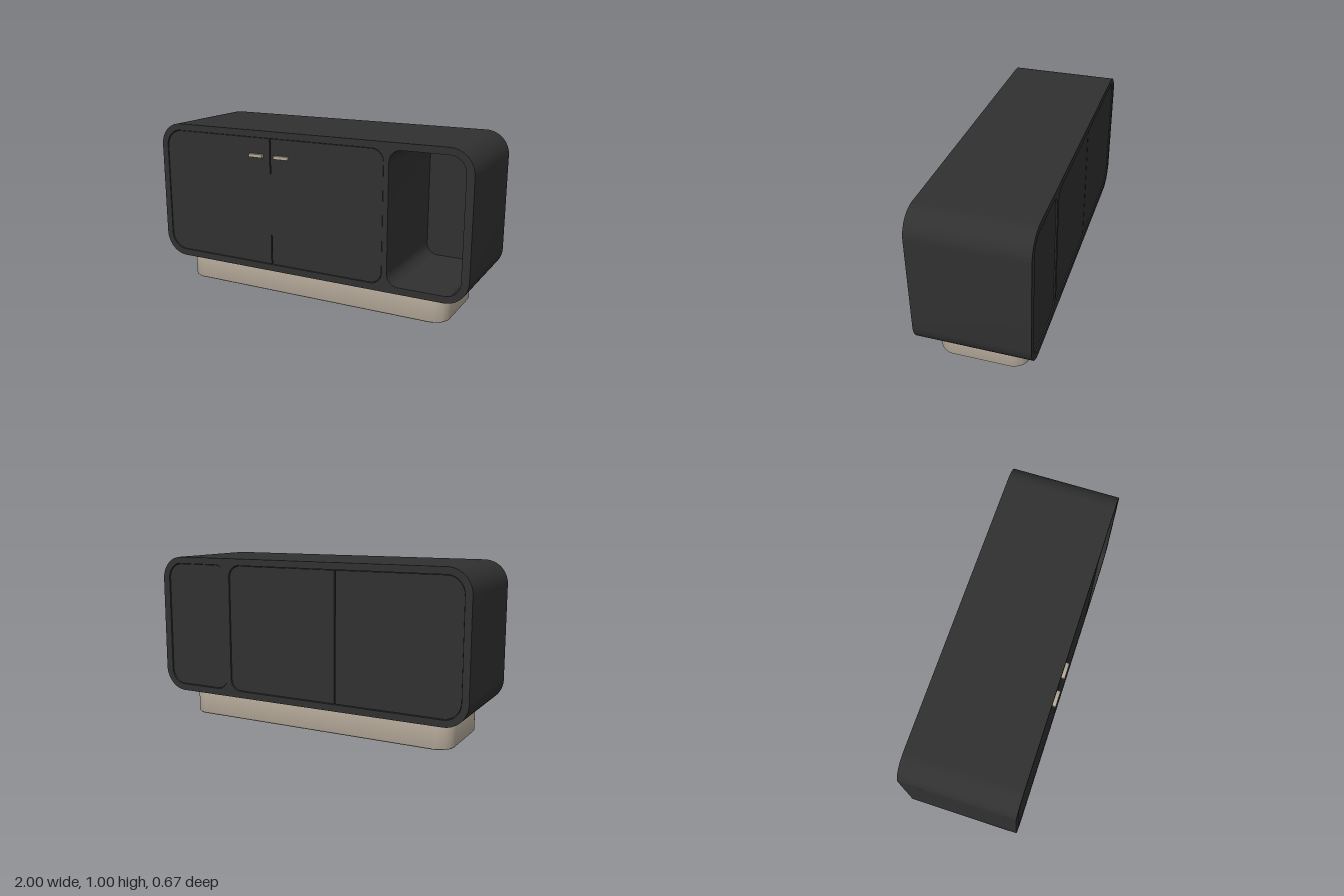
import * as THREE from 'three';
import { toCreasedNormals } from 'three/addons/utils/BufferGeometryUtils.js';

const BACK = -0.335, FRONT = 0.32;

// Rounded rectangle; radii in the order bottom-left, bottom-right, top-right, top-left
function outline(path, x0, y0, x1, y1, [bl, br, tr, tl]) {
  path.moveTo(x0 + bl, y0);
  path.lineTo(x1 - br, y0);
  if (br) path.absarc(x1 - br, y0 + br, br, -Math.PI / 2, 0);
  path.lineTo(x1, y1 - tr);
  if (tr) path.absarc(x1 - tr, y1 - tr, tr, 0, Math.PI / 2);
  path.lineTo(x0 + tl, y1);
  if (tl) path.absarc(x0 + tl, y1 - tl, tl, Math.PI / 2, Math.PI);
  path.lineTo(x0, y0 + bl);
  if (bl) path.absarc(x0 + bl, y0 + bl, bl, Math.PI, Math.PI * 1.5);
  return path;
}

function extrude(shape, depth, options = {}) {
  const g = new THREE.ExtrudeGeometry(shape, { depth, bevelEnabled: false, curveSegments: 12, ...options });
  return toCreasedNormals(g, 0.5);
}

export function createModel() {
  const root = new THREE.Group();
  root.name = 'sideboard';
  const dark = new THREE.MeshStandardMaterial({ color: 0x303030 });
  dark.name = 'charcoal';
  const beige = new THREE.MeshStandardMaterial({ color: 0xb4a999 });
  beige.name = 'warm beige';

  function add(name, geometry, material, z = 0) {
    const mesh = new THREE.Mesh(geometry, material);
    mesh.name = name;
    mesh.position.z = z;
    root.add(mesh);
    return mesh;
  }

  // Rounded carcass, with a wide cupboard opening and a narrow niche
  const body = outline(new THREE.Shape(), -1, 0.157, 1, 1, [0.14, 0.14, 0.14, 0.14]);
  body.holes.push(outline(new THREE.Path(), -0.96, 0.197, 0.5, 0.96, [0.1, 0.07, 0.07, 0.1]));
  body.holes.push(outline(new THREE.Path(), 0.53, 0.197, 0.955, 0.96, [0.07, 0.09, 0.09, 0.07]));
  add('carcass', extrude(body, FRONT - BACK), dark, BACK);

  // Doors on the front and matching panels on the back, parted by a thin seam
  const leafA = outline(new THREE.Shape(), -0.957, 0.2, -0.217, 0.957, [0.1, 0, 0, 0.1]);
  const leafB = outline(new THREE.Shape(), -0.21, 0.2, 0.497, 0.957, [0, 0.07, 0.07, 0]);
  const nicheShape = outline(new THREE.Shape(), 0.533, 0.2, 0.952, 0.957, [0.07, 0.09, 0.09, 0.07]);
  const thick = 0.02;
  add('rightDoor', extrude(leafA, thick), dark, FRONT - thick - 0.004);
  add('leftDoor', extrude(leafB, thick), dark, FRONT - thick - 0.004);
  add('rightBackPanel', extrude(leafA, thick), dark, BACK + 0.007);
  add('leftBackPanel', extrude(leafB, thick), dark, BACK + 0.007);
  add('nicheBackPanel', extrude(nicheShape, thick), dark, BACK + 0.007);

  // Strip closing the middle of the front seam
  const strip = add('seamStrip', new THREE.BoxGeometry(0.009, 0.37, thick), dark, FRONT - thick / 2 - 0.004);
  strip.position.set(-0.2135, 0.565, strip.position.z);

  // Small pull handles on both sides of the seam
  for (const [name, x] of [['rightHandle', -0.305], ['leftHandle', -0.135]]) {
    const bar = outline(new THREE.Shape(), -0.047, -0.01, 0.047, 0.01, [0.004, 0.004, 0.004, 0.004]);
    const handle = add(name, extrude(bar, 0.015, {
      bevelEnabled: true, bevelSize: 0.003, bevelThickness: 0.003, bevelOffset: -0.003, bevelSegments: 2,
    }), beige, FRONT - 0.002);
    handle.position.set(x, 0.853, FRONT - 0.002);
  }

  // Plinth with rounded corners and softened bottom edge
  const foot = outline(new THREE.Shape(), -0.877, -0.26, 0.855, 0.265, [0.1, 0.1, 0.1, 0.1]);
  const plinth = extrude(foot, 0.136, {
    bevelEnabled: true, bevelSize: 0.012, bevelThickness: 0.012, bevelOffset: -0.012, bevelSegments: 3,
  });
  plinth.rotateX(-Math.PI / 2);
  plinth.translate(0, 0.012, 0);
  add('plinth', plinth, beige);
  return root;
}
